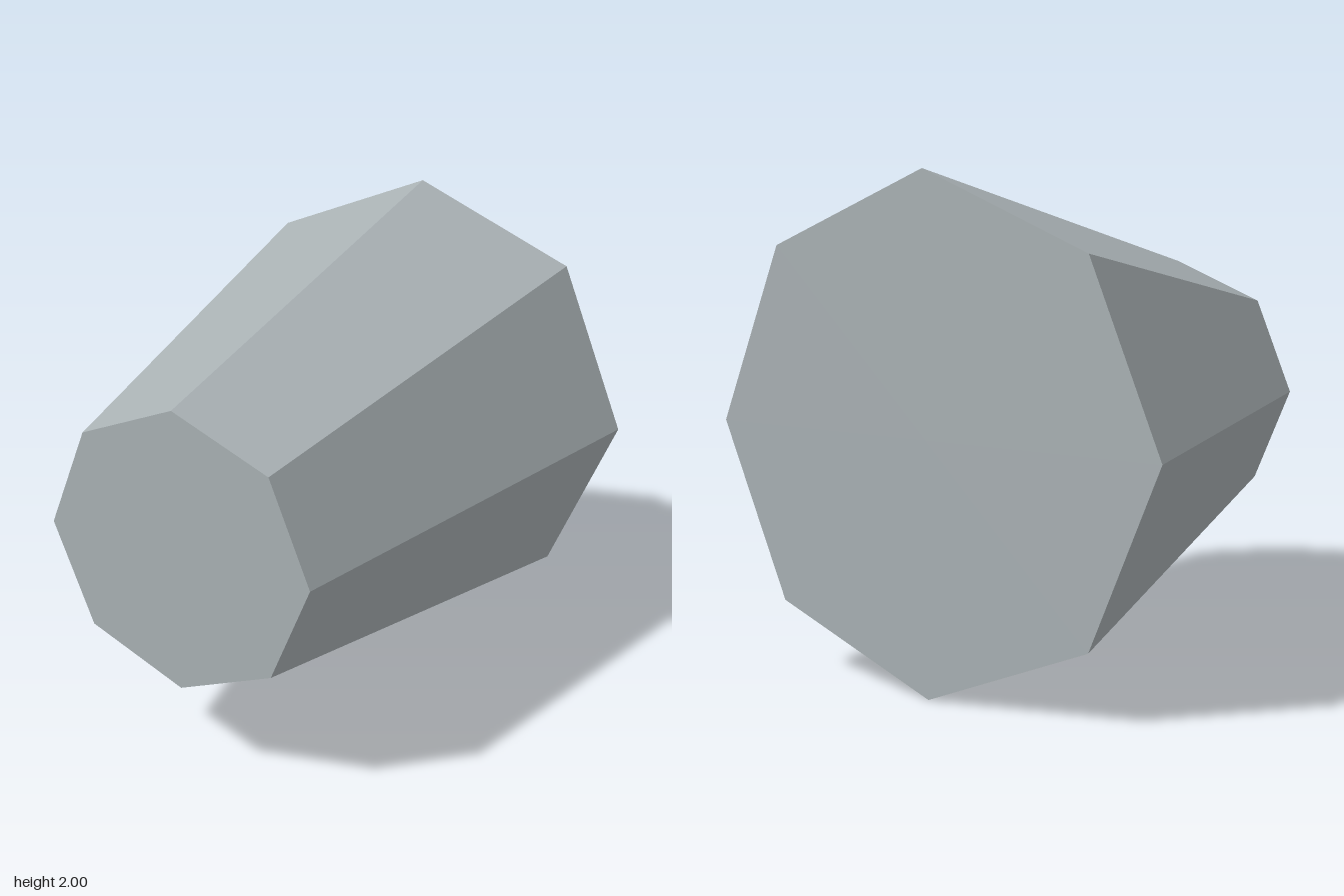
import * as THREE from 'three';

export function createModel() {
  const model = new THREE.Group();
  const coolGrey = new THREE.MeshStandardMaterial({ color: 0xa9b1b4 });
  coolGrey.name = 'coolGrey';

  // Eight-sided tapered body with flat caps, narrow end facing forward
  const geometry = new THREE.CylinderGeometry(0.58, 1, 2, 8).toNonIndexed();
  geometry.rotateX(Math.PI / 2);
  geometry.computeVertexNormals(); // one flat normal per facet

  const body = new THREE.Mesh(geometry, coolGrey);
  body.name = 'taperedBody';
  body.position.y = 1;
  model.add(body);
  return model;
}
